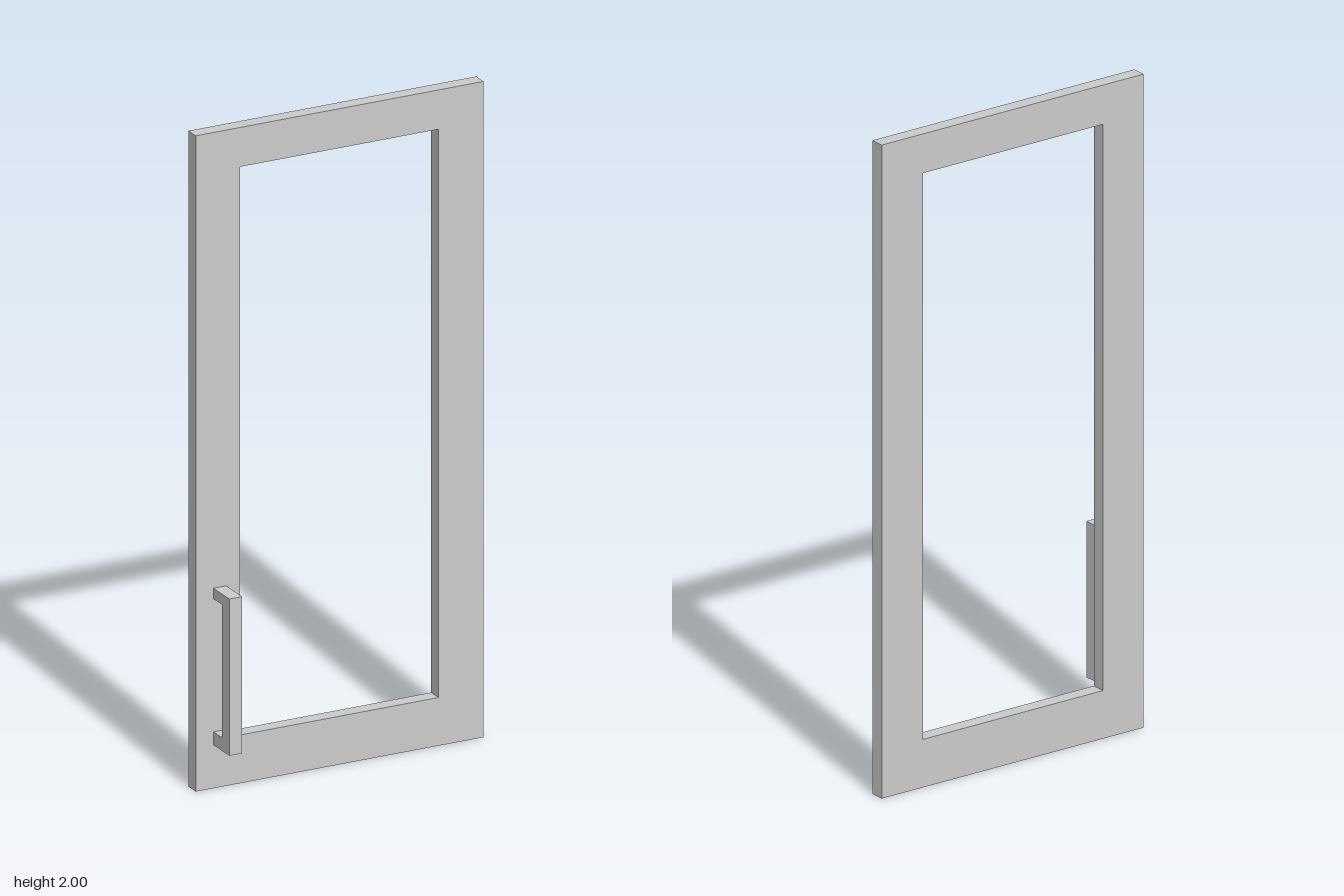
import * as THREE from 'three';

const material = new THREE.MeshStandardMaterial({ color: 0xcccccc, flatShading: true });

// Closed outline from [x, y] corners
const outline = (Type, pts) => new Type(pts.map(([x, y]) => new THREE.Vector2(x, y)));
const rect = (x0, y0, x1, y1) => [[x0, y0], [x1, y0], [x1, y1], [x0, y1]];

function extrude(name, shape, depth) {
  const mesh = new THREE.Mesh(new THREE.ExtrudeGeometry(shape, { depth, bevelEnabled: false }), material);
  mesh.name = name;
  return mesh;
}

export function createModel() {
  const model = new THREE.Group();
  model.name = 'door';
  const back = -0.071, front = -0.026;

  // Door frame with its open window
  const frameShape = outline(THREE.Shape, rect(-0.463, 0, 0.463, 2));
  frameShape.holes.push(outline(THREE.Path, rect(-0.32, 0.147, 0.318, 1.88)));
  const frame = extrude('doorFrame', frameShape, front - back);
  frame.position.z = back;
  model.add(frame);

  // C-shaped pull handle: side profile (z, y) extruded across x
  const grip = 0.071, inner = 0.026, low = 0.132, high = 0.61;
  const handleShape = outline(THREE.Shape, [
    [front, low], [grip, low], [grip, high], [front, high],
    [front, 0.578], [inner, 0.578], [inner, 0.172], [front, 0.172],
  ]);
  const handle = extrude('pullHandle', handleShape, 0.041);
  handle.rotation.y = -Math.PI / 2;
  handle.position.x = -0.365;
  model.add(handle);

  return model;
}
